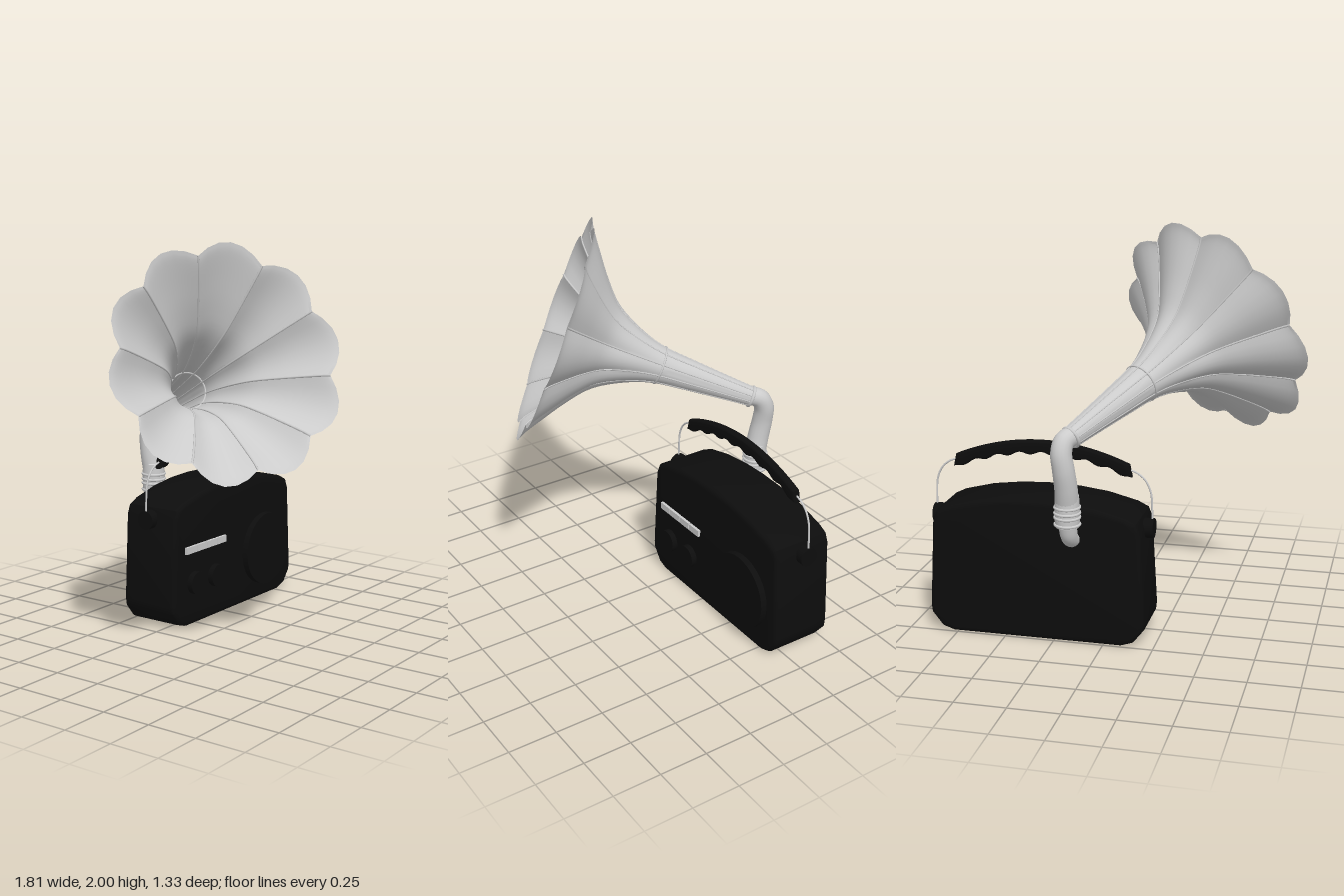
import * as THREE from 'three';
import { toCreasedNormals } from 'three/addons/utils/BufferGeometryUtils.js';

const V = (x, y, z) => new THREE.Vector3(x, y, z);
const black = new THREE.MeshStandardMaterial({ color: 0x0d0d0d });
const grey = new THREE.MeshStandardMaterial({ color: 0xcccccc });
const shell = new THREE.MeshStandardMaterial({ color: 0xcccccc, side: THREE.DoubleSide });
const CX = 0.342, HANDLE_Z = -0.34;

function add(parent, name, geometry, material, x = 0, y = 0, z = 0) {
  const mesh = new THREE.Mesh(geometry, material);
  mesh.name = name;
  mesh.position.set(x, y, z);
  parent.add(mesh);
  return mesh;
}

// Extrusion with rounded edges, centred on z, keeping the outline size
function slab(points, depth, bevel) {
  const g = new THREE.ExtrudeGeometry(new THREE.Shape(points), {
    depth: depth - 2 * bevel, bevelThickness: bevel, bevelSize: bevel,
    bevelOffset: -bevel, bevelSegments: 3, steps: 1,
  });
  g.translate(0, 0, bevel - depth / 2);
  return toCreasedNormals(g, 0.6);
}

// Tube whose radius runs from r0 to r1
function taperedTube(points, r0, r1, seg = 28, sides = 18) {
  const g = new THREE.TubeGeometry(new THREE.CatmullRomCurve3(points), seg, r0, sides);
  const p = g.attributes.position, n = g.attributes.normal;
  for (let i = 0; i < p.count; i++) {
    const d = (r1 - r0) * Math.floor(i / (sides + 1)) / seg;
    p.setXYZ(i, p.getX(i) + n.getX(i) * d, p.getY(i) + n.getY(i) * d, p.getZ(i) + n.getZ(i) * d);
  }
  return g;
}

function makeRadio() {
  const radio = new THREE.Group();
  radio.name = 'radio';

  // Case with chamfered lower corners and arched top
  const half = [[0.43, 0], [0.49, 0.02], [0.545, 0.09], [0.55, 0.13], [0.525, 0.58], [0.505, 0.63],
    [0.45, 0.657], [0.3, 0.695], [0.15, 0.714]];
  const outline = [...half, [0, 0.72], ...half.map(([x, y]) => [-x, y]).reverse()];
  add(radio, 'case', slab(outline.map(([x, y]) => new THREE.Vector2(x, y)), 0.33, 0.025), black, CX, 0, -0.335);

  // Front controls
  const disc = (name, x, y, r, h) =>
    add(radio, name, new THREE.CylinderGeometry(r, r, h, 32).rotateX(Math.PI / 2), black, x, y, -0.18 + h / 2);
  disc('speaker', 0.61, 0.28, 0.2, 0.043);
  disc('knob', -0.03, 0.227, 0.06, 0.04);
  disc('knob', 0.15, 0.227, 0.06, 0.04);
  for (let i = 0; i < 4; i++)
    add(radio, 'button', new THREE.BoxGeometry(0.083, 0.036, 0.03), grey, -0.068 + i * 0.088, 0.41, -0.17);

  // Grip with finger waves on its underside
  const top = [], bottom = [];
  for (let i = 0; i <= 48; i++) {
    const s = i / 24 - 1;
    top.push(new THREE.Vector2(s * 0.442, 0.98 - 0.095 * s * s));
    bottom.push(new THREE.Vector2(s * 0.455, 0.915 - 0.1 * s * s + 0.008 * Math.cos(s * Math.PI * 8)));
  }
  add(radio, 'grip', slab([...bottom, ...top.reverse()], 0.042, 0.012), black, CX, 0, HANDLE_Z);

  // Wire arms and side pivots
  for (const s of [-1, 1]) {
    const arm = [[0.43, 0.86], [0.475, 0.847], [0.52, 0.81], [0.547, 0.75], [0.553, 0.68], [0.555, 0.57]];
    add(radio, 'handleWire', taperedTube(arm.map(([x, y]) => V(CX + s * x, y, HANDLE_Z)), 0.005, 0.005, 24, 8), grey);
    add(radio, 'handlePivot', new THREE.CylinderGeometry(0.049, 0.049, 0.05, 24).rotateZ(Math.PI / 2), black,
      CX + s * 0.54, 0.57, HANDLE_Z);
  }
  return radio;
}

function makePipe() {
  const pipe = new THREE.Group();
  pipe.name = 'pipe';
  add(pipe, 'lowerElbow', taperedTube([V(0.15, 0.535, -0.47), V(0.15, 0.545, -0.515), V(0.15, 0.58, -0.553),
    V(0.15, 0.65, -0.575)], 0.038, 0.045), shell);
  add(pipe, 'upperElbow', taperedTube([V(0.15, 0.75, -0.58), V(0.15, 0.83, -0.597), V(0.157, 0.92, -0.612),
    V(0.167, 1.0, -0.61), V(0.16, 1.05, -0.585), V(0.135, 1.068, -0.54)], 0.057, 0.049), shell);
  // Ringed collar
  const collar = [[0.04, 0.625], [0.057, 0.63], [0.06, 0.66], [0.06, 0.74], [0.057, 0.785], [0.05, 0.79]];
  add(pipe, 'collar', toCreasedNormals(new THREE.LatheGeometry(
    collar.map(([r, y]) => new THREE.Vector2(r, y)), 28), 0.6), shell, 0.15, 0, -0.578);
  for (const y of [0.643, 0.678, 0.7, 0.728])
    add(pipe, 'collarRing', new THREE.TorusGeometry(0.06, 0.007, 8, 28).rotateX(Math.PI / 2), grey, 0.15, y, -0.578);
  return pipe;
}

// Horn built along its own +y axis, then aimed
function makeHorn() {
  const horn = new THREE.Group();
  horn.name = 'horn';
  const PETALS = 10;
  const profile = new THREE.SplineCurve([[0.05, 0], [0.062, 0.15], [0.078, 0.33], [0.097, 0.51], [0.14, 0.65],
    [0.22, 0.8], [0.325, 0.9], [0.455, 0.995], [0.55, 1.06], [0.592, 1.08]]
    .map(([r, t]) => new THREE.Vector2(r, t))).getPoints(36);
  // Radius factor: petals bulge between the seams, deepest at the rim
  const petal = (phi, t) => 1 - 0.115 * THREE.MathUtils.smoothstep(t, 0.35, 1.05)
    * (1 - Math.abs(Math.sin(phi * PETALS / 2)));

  const bell = new THREE.LatheGeometry(profile, PETALS * 6);
  const p = bell.attributes.position;
  for (let i = 0; i < p.count; i++) {
    const k = petal(Math.atan2(p.getX(i), p.getZ(i)), p.getY(i));
    p.setXYZ(i, p.getX(i) * k, p.getY(i), p.getZ(i) * k);
  }
  add(horn, 'bell', toCreasedNormals(bell, 0.45), shell);

  // Raised seams between petals
  for (let i = 0; i < PETALS; i++) {
    const phi = i * 2 * Math.PI / PETALS;
    const path = profile.filter((_, j) => j % 3 === 0).map(({ x: r, y: t }) => {
      const k = r * petal(phi, t);
      return V(k * Math.sin(phi), t, k * Math.cos(phi));
    });
    add(horn, 'seam', taperedTube(path, 0.003, 0.006, 36, 6), grey);
  }
  // Joint bands
  for (const [r, t, w] of [[0.097, 0.51, 0.006], [0.05, 0.005, 0.009]])
    add(horn, 'band', new THREE.TorusGeometry(r, w, 8, 40).rotateX(Math.PI / 2), grey, 0, t, 0);

  // Aim the axis, with the seams turned slightly
  const n = V(-0.493, 0.363, 0.79).normalize();
  const u = V(0, 1, 0).cross(n).normalize();
  const basis = new THREE.Matrix4().makeBasis(u, n, u.clone().cross(n));
  basis.multiply(new THREE.Matrix4().makeRotationY(THREE.MathUtils.degToRad(8)));
  horn.quaternion.setFromRotationMatrix(basis);
  horn.position.set(0.14, 1.06, -0.55);
  return horn;
}

export function createModel() {
  const model = new THREE.Group();
  model.name = 'hornRadio';
  model.add(makeRadio(), makePipe(), makeHorn());
  return model;
}
